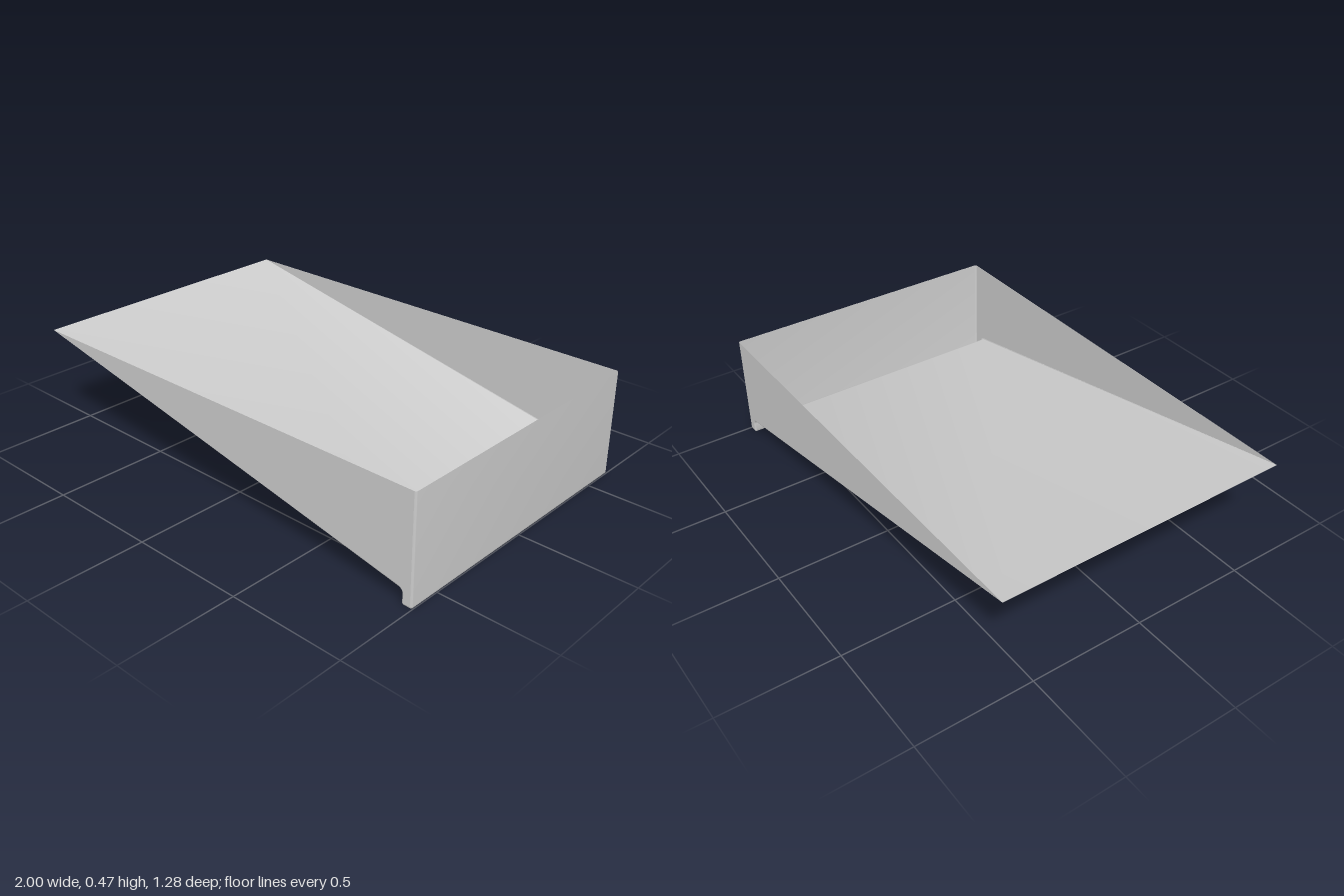
import * as THREE from 'three';
import { toCreasedNormals } from 'three/addons/utils/BufferGeometryUtils.js';

const HALF_WIDTH = 0.64, ROUND = 0.008, TOP = 0.465;

// Outer profile: sloping floor, small fillet, hanging lip, upright end wall
function makeProfile() {
  const path = new THREE.Path();
  path.moveTo(-1, TOP);
  path.lineTo(0.935, 0.067);
  path.quadraticCurveTo(0.954, 0.063, 0.954, 0.045);
  path.lineTo(0.954, 0.01);
  path.quadraticCurveTo(0.954, 0, 0.964, 0);
  path.lineTo(0.99, 0);
  path.quadraticCurveTo(1, 0, 1, 0.01);
  path.lineTo(1, TOP);
  return path.getPoints(5);
}

// Moves the profile towards the inside, keeping its ends at the rim
function inset(points, d) {
  const last = points.length - 1;
  return points.map((p, i) => {
    if (i === 0) return p.clone();
    if (i === last) return new THREE.Vector2(p.x - d, p.y);
    const t = p.clone().sub(points[i - 1]).normalize()
      .add(points[i + 1].clone().sub(p).normalize()).normalize();
    return new THREE.Vector2(p.x - t.y * d, p.y + t.x * d);
  });
}

export function createModel() {
  const group = new THREE.Group();
  const material = new THREE.MeshStandardMaterial({ color: 0xcccccc, side: THREE.DoubleSide });
  const profile = makeProfile();
  const n = profile.length;

  // Cross-sections across the width, rounded over at both sides
  const rows = [];
  for (let k = 0; k <= 4; k++) {
    const a = (k / 4) * Math.PI / 2;
    rows.push({ z: HALF_WIDTH - ROUND * (1 - Math.cos(a)), d: ROUND * (1 - Math.sin(a)) });
  }
  rows.push(...rows.slice().reverse().map(r => ({ z: -r.z, d: r.d })));

  const positions = [], index = [];
  rows.forEach((row, k) => {
    for (const p of inset(profile, row.d)) positions.push(p.x, p.y, row.z);
    if (k === 0) return;
    for (let i = 0; i < n - 1; i++) {
      const a = (k - 1) * n + i, c = a + n;
      index.push(a, c, a + 1, a + 1, c, c + 1);
    }
  });
  const shell = new THREE.BufferGeometry();
  shell.setAttribute('position', new THREE.Float32BufferAttribute(positions, 3));
  shell.setIndex(index);
  const floor = new THREE.Mesh(toCreasedNormals(shell, 0.7), material);
  floor.name = 'floorLipAndEndWall';
  group.add(floor);

  // Thin wedge-shaped side walls
  const sideGeometry = new THREE.ShapeGeometry(new THREE.Shape(inset(profile, ROUND)));
  for (const s of [1, -1]) {
    const side = new THREE.Mesh(sideGeometry, material);
    side.name = s > 0 ? 'frontSideWall' : 'backSideWall';
    side.position.z = s * HALF_WIDTH;
    side.scale.z = s;
    group.add(side);
  }
  return group;
}
